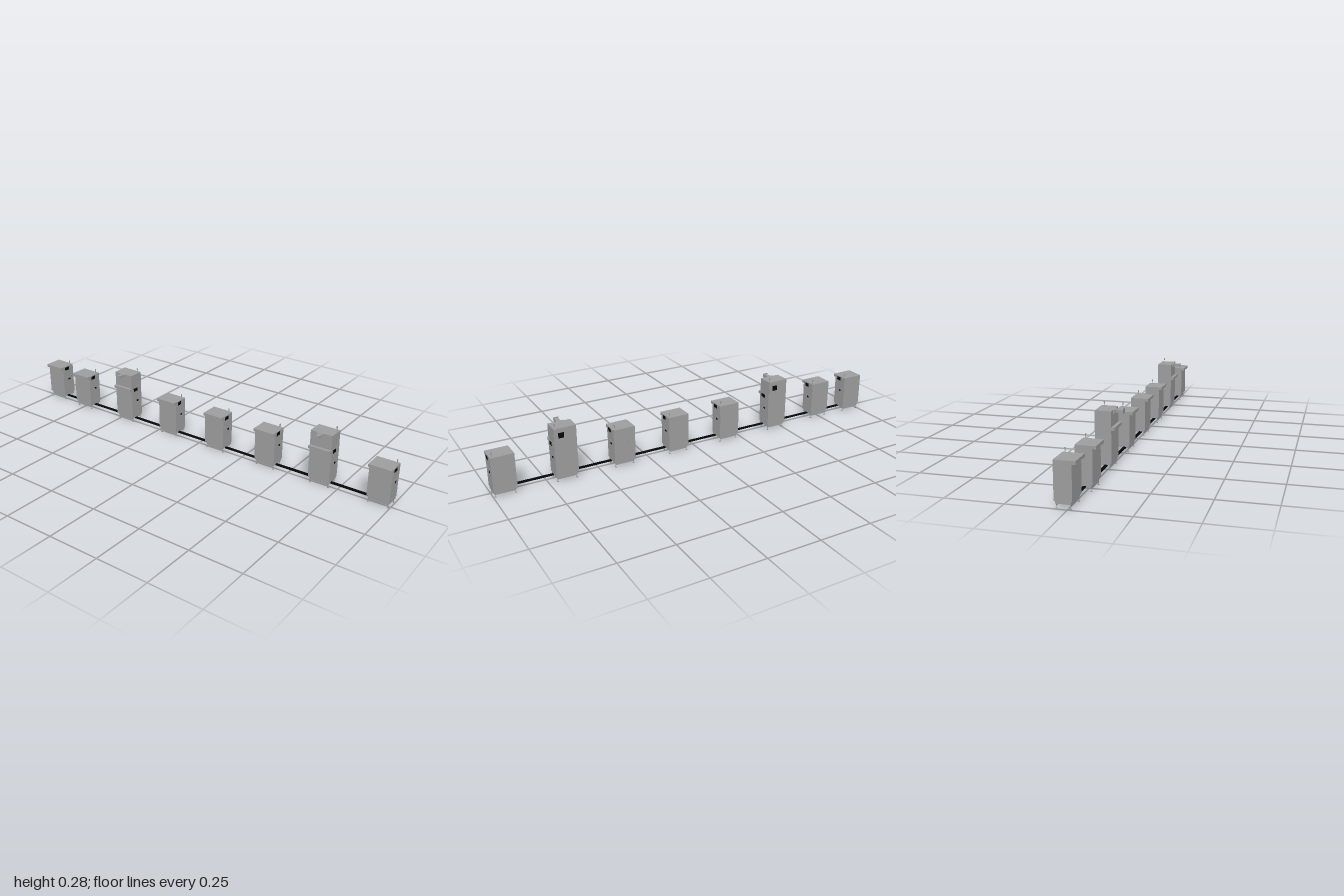
import * as THREE from 'three';

const grey = new THREE.MeshStandardMaterial({ color: 0x9d9d9d });
const black = new THREE.MeshStandardMaterial({ color: 0x060606 });

// Box given by its min and max corners
function box(parent, name, x0, x1, y0, y1, z0, z1, mat = grey) {
  const m = new THREE.Mesh(new THREE.BoxGeometry(x1 - x0, y1 - y0, z1 - z0), mat);
  m.position.set((x0 + x1) / 2, (y0 + y1) / 2, (z0 + z1) / 2);
  m.name = name;
  parent.add(m);
}

function lathe(parent, name, pts, x, y, z) {
  const m = new THREE.Mesh(new THREE.LatheGeometry(pts.map(p => new THREE.Vector2(...p)), 14), grey);
  m.position.set(x, y, z);
  m.name = name;
  parent.add(m);
}

// Profiles run upwards as [radius, height]
const footProfile = [[0, 0], [0.0045, 0], [0.0045, 0.002], [0.0015, 0.004], [0.0015, 0.017], [0.003, 0.017], [0.003, 0.021]];
const beaconProfile = [[0.003, 0], [0.003, 0.0015], [0.001, 0.003], [0.001, 0.008], [0.002, 0.009], [0.003, 0.02], [0.0025, 0.021], [0, 0.021]];

// Round push button; axis 'z' faces forward, 'x' faces sideways
function button(parent, x, y, z, axis, r = 0.0022) {
  const m = new THREE.Mesh(new THREE.CylinderGeometry(r, r, 0.002, 12), grey);
  if (axis === 'z') m.rotation.x = Math.PI / 2;
  else m.rotation.z = -Math.PI / 2;
  m.position.set(x, y, z);
  m.name = 'button';
  parent.add(m);
}

function cabinet(tall) {
  const g = new THREE.Group();
  g.name = tall ? 'tallCabinet' : 'cabinet';

  // Feet, thin skirts between them and hollow plinth
  for (const x of [-0.011, 0.044]) {
    for (const z of [-0.045, 0.045]) lathe(g, 'foot', footProfile, x, 0, z);
    box(g, 'skirt', x - 0.001, x + 0.001, 0.011, 0.021, -0.045, 0.045);
  }
  for (const s of [-1, 1]) box(g, 'plinthCrossRail', -0.014, 0.049, 0.02, 0.031, s * 0.046 - 0.004, s * 0.046 + 0.004);
  box(g, 'plinthLeftRail', 0.041, 0.049, 0.02, 0.031, -0.042, 0.042);
  box(g, 'plinthRightRail', -0.014, -0.006, 0.02, 0.031, -0.042, 0.042);

  // Housing, overhanging lid and raised front panel
  box(g, 'housing', -0.02, 0.0525, 0.031, 0.189, -0.053, 0.0515);
  box(g, 'lidOverhang', -0.035, -0.02, 0.175, 0.189, -0.053, 0.0515);
  box(g, 'controlPanel', -0.02, 0.0515, 0.132, 0.188, 0.0515, 0.0525);

  // Front controls
  box(g, 'screen', -0.006, 0.021, 0.167, 0.184, 0.052, 0.053, black);
  box(g, 'smallDisplay', 0.015, 0.026, 0.109, 0.117, 0.0515, 0.053, black);
  for (let i = 0; i < 5; i++) button(g, -0.011 + i * 0.013, 0.127, 0.052, 'z');
  button(g, -0.011, 0.159, 0.052, 'z', 0.001);

  if (!tall) {
    box(g, 'sideHandle', 0.0525, 0.0535, 0.115, 0.16, -0.018, -0.015);
  } else {
    // Upper housing with side control panel
    box(g, 'upperHousing', -0.02, 0.0525, 0.189, 0.258, -0.053, 0.0515);
    box(g, 'sidePanel', 0.0525, 0.055, 0.192, 0.256, -0.012, 0.05);
    box(g, 'sideScreen', 0.055, 0.056, 0.212, 0.237, 0.006, 0.032, black);
    for (let i = 0; i < 3; i++) button(g, 0.0555, 0.202, 0.006 + i * 0.012, 'x');
    button(g, 0.057, 0.238, -0.006, 'x');
    // Side chute
    box(g, 'chute', -0.06, -0.02, 0.244, 0.257, -0.012, 0.006);
    box(g, 'chuteMount', -0.027, -0.02, 0.243, 0.258, -0.024, 0.012);
    box(g, 'chuteFlange', -0.0615, -0.06, 0.24, 0.262, -0.015, 0.009);
  }
  lathe(g, 'beacon', beaconProfile, 0.039, tall ? 0.258 : 0.189, 0.042);
  return g;
}

export function createModel() {
  const model = new THREE.Group();
  model.name = 'cabinetLine';

  // Row of cabinets: [z, x offset, tall]
  const row = [
    [0.947, 0, false], [0.665, 0, true], [0.384, 0, false], [0.103, 0, false],
    [-0.178, 0, false], [-0.46, 0, true], [-0.743, -0.0107, false], [-0.947, 0, false],
  ];
  for (const [z, x, tall] of row) {
    const c = cabinet(tall);
    c.position.set(x, 0, z);
    model.add(c);
  }

  // Connecting rail under the cabinets
  box(model, 'rail', -0.002, 0.011, 0.018, 0.0235, -0.93, 0.93, black);
  return model;
}
